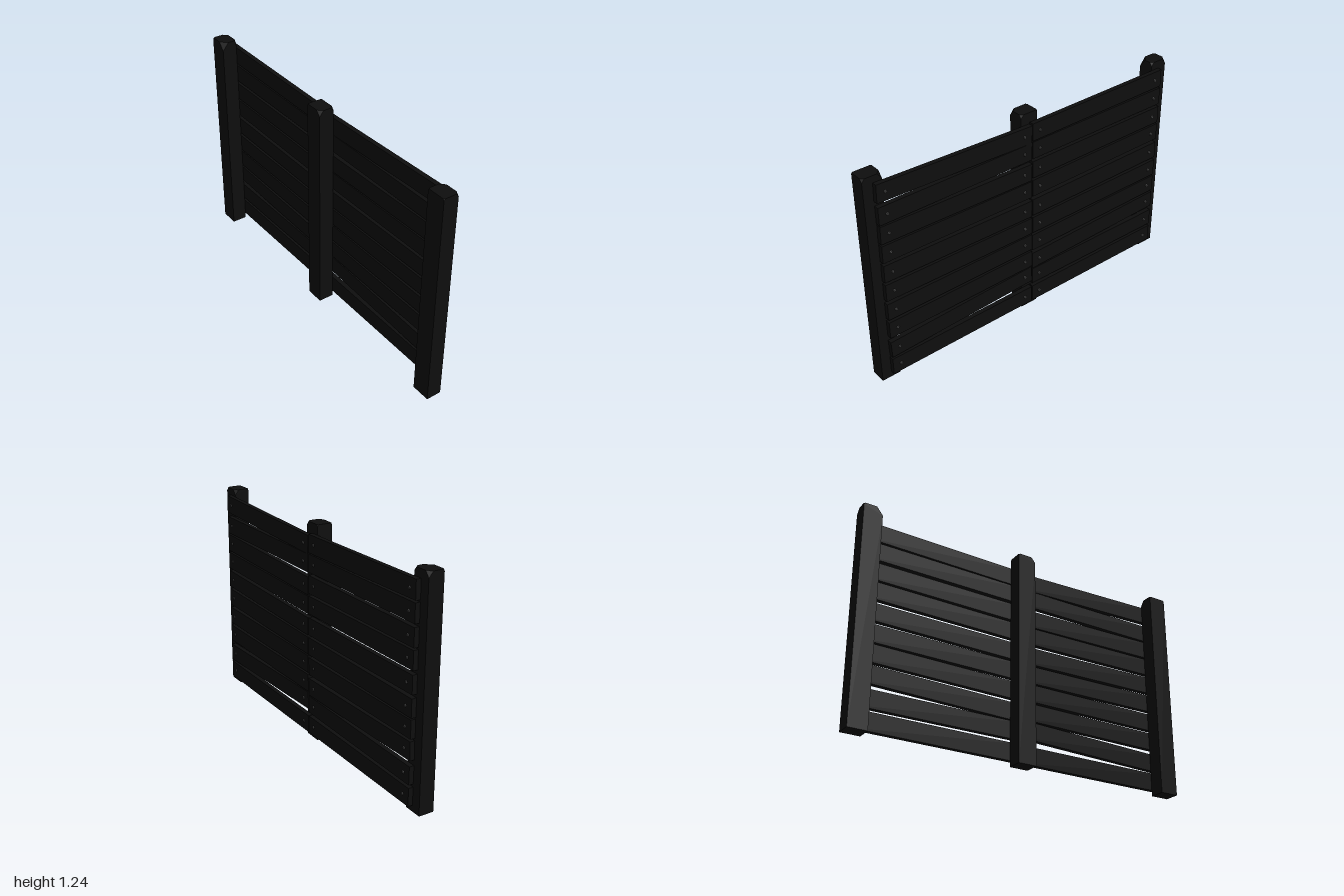
import * as THREE from 'three';
import { ConvexGeometry } from 'three/addons/geometries/ConvexGeometry.js';

const wood = new THREE.MeshStandardMaterial({ color: 0x0e0e0e });
wood.name = 'dark wood';
const steel = new THREE.MeshStandardMaterial({ color: 0x404040 });
steel.name = 'screw steel';

const HEIGHT = 1.24, X0 = -0.06, X1 = 0.027;

// Square post whose top corners are hacked off by individual amounts
// chips: [-x-z, +x-z, -x+z, +x+z]
function makePost(z0, z1, chips) {
  const pts = [];
  let i = 0;
  for (const z of [z0, z1]) {
    for (const x of [X0, X1]) {
      const c = chips[i++];
      const sx = x === X0 ? 1 : -1, sz = z === z0 ? 1 : -1;
      pts.push(new THREE.Vector3(x, 0, z));
      pts.push(new THREE.Vector3(x, HEIGHT - c, z));
      pts.push(new THREE.Vector3(x + sx * c * 0.8, HEIGHT, z));
      pts.push(new THREE.Vector3(x, HEIGHT, z + sz * c * 0.8));
    }
  }
  const post = new THREE.Mesh(new ConvexGeometry(pts), wood);
  post.name = 'post';
  return post;
}

// Plank heights at the outer and inner end of each bay, top to bottom
const frontBay = [
  [1.15, 1.126], [1.024, 1.024], [0.914, 0.898], [0.802, 0.791], [0.684, 0.668],
  [0.567, 0.556], [0.447, 0.447], [0.329, 0.334], [0.2, 0.227], [0.085, 0.085],
];
const backBay = [
  [1.144, 1.134], [1.032, 1.027], [0.914, 0.909], [0.802, 0.794], [0.679, 0.671],
  [0.559, 0.556], [0.449, 0.439], [0.334, 0.316], [0.203, 0.209], [0.085, 0.086],
];

const plankGeo = new THREE.BoxGeometry(0.027, 0.101, 0.942);
const screwGeo = new THREE.CylinderGeometry(0.007, 0.01, 0.006, 6).rotateZ(-Math.PI / 2);

// One bay of crooked planks with a screw near each end
function makeBay(side, heights) {
  const bay = new THREE.Group();
  bay.name = side > 0 ? 'frontBay' : 'backBay';
  for (const [outer, inner] of heights) {
    const board = new THREE.Group();
    board.name = 'board';
    board.position.set(0.0405, (outer + inner) / 2, side * 0.474);
    board.rotation.x = -Math.atan2((outer - inner) * side, 0.84);
    const plank = new THREE.Mesh(plankGeo, wood);
    plank.name = 'plank';
    board.add(plank);
    for (const dz of [-0.422, 0.422]) {
      const screw = new THREE.Mesh(screwGeo, steel);
      screw.name = 'screw';
      screw.position.set(0.0155, 0, dz);
      board.add(screw);
    }
    bay.add(board);
  }
  return bay;
}

export function createModel() {
  const fence = new THREE.Group();
  fence.name = 'fence';
  fence.add(makePost(0.892, 1, [0.01, 0.03, 0.008, 0.02]));
  fence.add(makePost(-0.052, 0.055, [0.008, 0.008, 0.03, 0.02]));
  fence.add(makePost(-1, -0.892, [0.01, 0.03, 0.045, 0.02]));
  fence.add(makeBay(1, frontBay), makeBay(-1, backBay));
  return fence;
}
